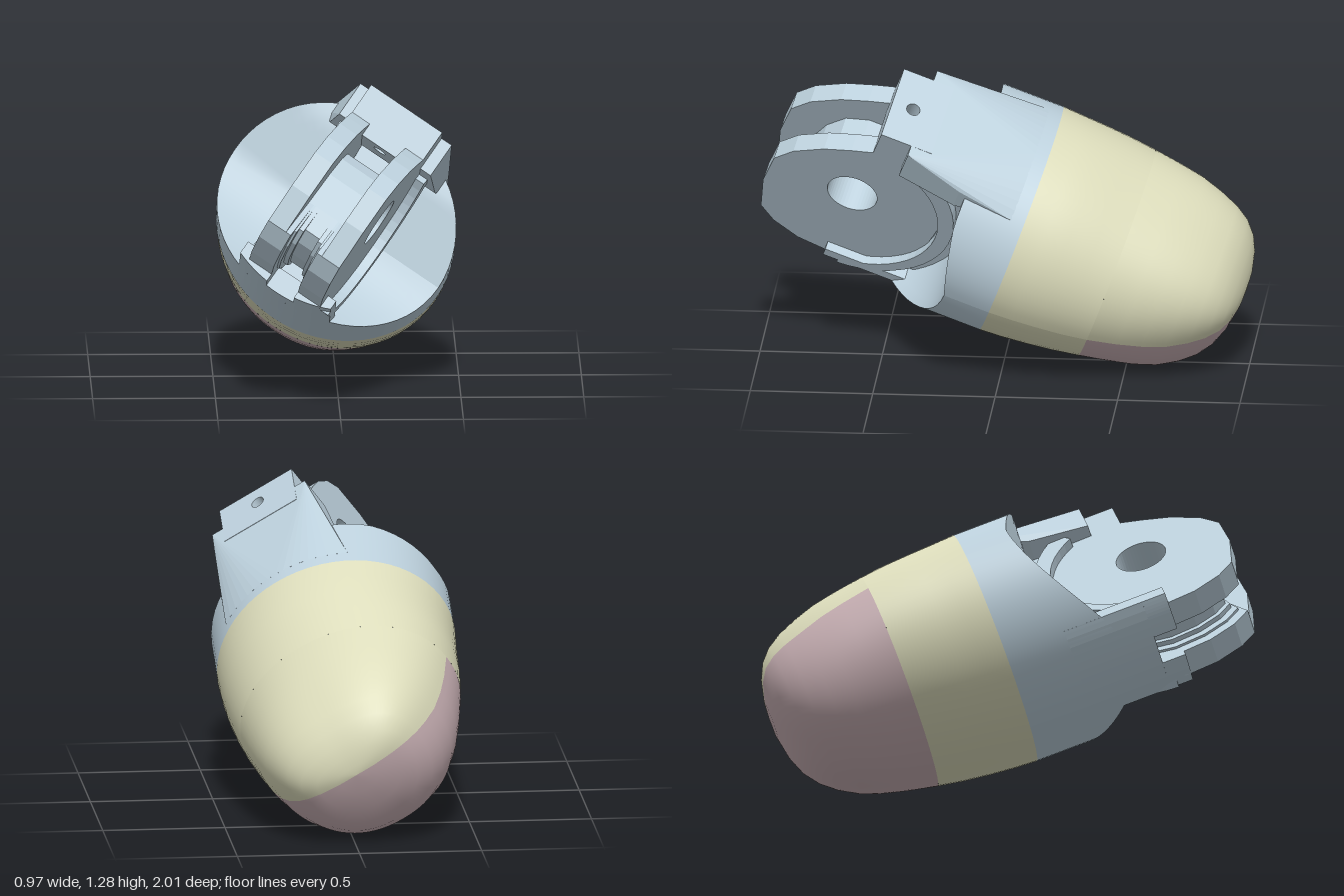
import * as THREE from 'three';
import { ConvexGeometry } from 'three/addons/geometries/ConvexGeometry.js';

const shellMat = new THREE.MeshStandardMaterial({ color: 0xbcd0dc });
shellMat.name = 'pale blue';
const skinMat = new THREE.MeshStandardMaterial({ color: 0xdcdcbb });
skinMat.name = 'cream';
const padMat = new THREE.MeshStandardMaterial({ color: 0xc6aeb2 });
padMat.name = 'dusty pink';

// Local frame: x = hinge axis, y = back of the finger, z = towards the knuckle.
const P = 0.503, Q = 0.453; // half axes of the shell
const HINGE_Z = 0.83;
const wallY = (x) => Q * Math.sqrt(1 - (x / P) ** 2);

function add(parent, name, geometry, material) {
  const mesh = new THREE.Mesh(geometry, material);
  mesh.name = name;
  parent.add(mesh);
  return mesh;
}

// Surface through rows of points around the finger; point(row, angle) -> [x, y, z]
function skin(rows, from, to, point, steps = 64) {
  const pos = [], index = [];
  rows.forEach((row) => {
    for (let j = 0; j <= steps; j++) pos.push(...point(row, from + ((to - from) * j) / steps));
  });
  const n = steps + 1;
  for (let i = 0; i < rows.length - 1; i++) {
    for (let j = 0; j < steps; j++) {
      const a = i * n + j, b = a + n;
      index.push(a, b, a + 1, a + 1, b, b + 1);
    }
  }
  const g = new THREE.BufferGeometry();
  g.setAttribute('position', new THREE.Float32BufferAttribute(pos, 3));
  g.setIndex(index);
  g.computeVertexNormals();
  return g;
}

const shapeOf = (pts) => new THREE.Shape(pts.map(([x, y]) => new THREE.Vector2(x, y)));
const extrude = (shape, depth) =>
  new THREE.ExtrudeGeometry(shape, { depth, bevelEnabled: false, curveSegments: 24 });
function hole(shape, x, y, r) {
  shape.holes.push(new THREE.Path().absarc(x, y, r, 0, Math.PI * 2, true));
  return shape;
}
// Profile given in (z, y), running across x from x0 to x1
const across = (shape, x0, x1) => extrude(shape, x1 - x0).rotateY(-Math.PI / 2).translate(x1, 0, 0);
// Plan given in (x, z), running down from y1 to y0
const downward = (shape, y0, y1) => extrude(shape, y1 - y0).rotateX(Math.PI / 2).translate(0, y1, 0);

// Fingertip sections: z, centre x, centre y, half width, height above, height below, squareness
const sections = [
  [0.145, 0, 0, P, Q, Q, 2], [0.05, 0, 0, 0.498, 0.447, 0.447, 2],
  [-0.05, -0.003, 0, 0.492, 0.436, 0.438, 2], [-0.16, -0.01, -0.006, 0.482, 0.415, 0.42, 2.05],
  [-0.27, -0.016, -0.01, 0.465, 0.395, 0.404, 2.1], [-0.39, -0.02, -0.01, 0.437, 0.375, 0.396, 2.2],
  [-0.49, -0.022, -0.006, 0.408, 0.35, 0.388, 2.35], [-0.58, -0.022, 0, 0.372, 0.315, 0.373, 2.5],
  [-0.66, -0.024, 0.018, 0.33, 0.265, 0.35, 2.6], [-0.72, -0.026, 0.034, 0.288, 0.208, 0.312, 2.7],
  [-0.765, -0.027, 0.047, 0.238, 0.145, 0.255, 2.7], [-0.794, -0.028, 0.054, 0.175, 0.09, 0.175, 2.6],
  [-0.812, -0.028, 0.058, 0.085, 0.04, 0.085, 2.4], [-0.816, -0.028, 0.06, 0, 0, 0, 2],
];
function tipPoint([z, cx, cy, p, up, down, n], t) {
  const c = Math.cos(t), s = Math.sin(t);
  const e = s > 0 ? n : 2 + (n - 2) * 0.4;
  const r = (Math.abs(c) ** e + Math.abs(s) ** e) ** (-1 / e);
  return [cx + p * r * c, cy + (s > 0 ? up : down) * r * s, z];
}

// Front of the shell is hollowed around the hinge
const cut = (y) => (y < 0 ? 0.84 - Math.sqrt(0.25 - y * y) : 0.34 + 0.07 * Math.min(1, y / 0.3));

function buildTip(finger) {
  const tip = new THREE.Group();
  tip.name = 'fingertip';
  const whole = Math.PI * 2;
  add(tip, 'fingertipSleeve', skin(sections.slice(0, 5), 0, whole, tipPoint), skinMat);
  add(tip, 'fingertipBack', skin(sections.slice(4), 0, Math.PI, tipPoint, 40), skinMat);
  add(tip, 'fingerPad', skin(sections.slice(4), Math.PI, whole, tipPoint, 40), padMat);
  finger.add(tip);
}

// Slab between the shell wall and an inner level, from x0 to x1 and z0 to z1
function palmSlab(x0, x1, z0, z1) {
  const pts = [];
  for (let i = 0; i <= 12; i++) {
    const x = x0 + ((x1 - x0) * i) / 12;
    pts.push([x, -wallY(x)]);
  }
  return extrude(shapeOf([...pts, [x1, -0.36], [x0, -0.36]]), z1 - z0).translate(0, 0, z0);
}

function buildShell(finger) {
  const shell = new THREE.Group();
  shell.name = 'shell';
  const whole = Math.PI * 2;
  add(shell, 'shellWall', skin([0, 1], 0, whole, (row, t) => {
    const y = Q * Math.sin(t);
    return [P * Math.cos(t), y, row ? 0.145 : cut(y)];
  }), shellMat);
  const rings = Array.from({ length: 13 }, (_, i) => i / 12);
  add(shell, 'shellHollow', skin(rings, 0, whole, (s, t) => {
    const y = Q * s * Math.sin(t);
    return [P * s * Math.cos(t), y, cut(y)];
  }), shellMat);

  // Palm side of the wall carries on under the hinge, split by the groove
  add(shell, 'palmTongue', palmSlab(-0.2, 0.235, 0.4, 0.74), shellMat);
  add(shell, 'rightPalmProng', palmSlab(-0.2, -0.045, 0.74, 0.84), shellMat);
  add(shell, 'leftPalmProng', palmSlab(0.085, 0.235, 0.74, 0.84), shellMat);

  // Shoulder blending the round shell into the stop block
  const pts = [];
  for (const side of [-1, 1]) {
    const x = (w) => 0.02 + side * w;
    for (const y of [0.31, 0.463]) pts.push(new THREE.Vector3(x(0.225), y, 0.69));
    for (const y of [0.3, 0.4]) pts.push(new THREE.Vector3(x(0.26), y, 0.44));
  }
  for (let i = -8; i <= 8; i++) {
    const x = i * 0.037;
    pts.push(new THREE.Vector3(x, wallY(x), 0.2));
  }
  add(shell, 'shoulder', new ConvexGeometry(pts), shellMat);
  finger.add(shell);
}

function buildHinge(finger) {
  const hinge = new THREE.Group();
  hinge.name = 'hinge';
  hinge.position.x = 0.02;

  // Lower edge shared by the cheeks and the hub
  const lowerEdge = [
    [0.465, -0.13], [0.52, -0.25], [0.6, -0.335], [0.7, -0.39], [0.814, -0.42], [0.96, -0.405],
    [1.078, -0.355], [1.15, -0.29],
  ];
  // Cheek plates with the pin hole
  const cheek = () => hole(shapeOf([
    ...lowerEdge, [1.185, -0.12], [1.18, 0.046], [1.12, 0.138], [1.01, 0.228], [0.905, 0.285],
    [0.81, 0.33], [0.72, 0.36], [0.6, 0.34], [0.52, 0.24], [0.468, 0.1], [0.452, -0.02],
  ]), HINGE_Z, 0.01, 0.105);

  // Curved lips of the shell that follow the cheeks, thinning towards the front
  const lip = () => {
    const outer = [], inner = [];
    for (let i = 0; i <= 20; i++) {
      const k = i / 20, t = 2.2 + 2.4 * k, r = 0.45 - 0.05 * k;
      outer.push([0.82 + r * Math.cos(t), -0.02 + r * Math.sin(t)]);
      inner.unshift([0.82 + 0.37 * Math.cos(t), -0.02 + 0.37 * Math.sin(t)]);
    }
    return shapeOf([...outer, ...inner]);
  };
  for (const [side, name] of [[1, 'left'], [-1, 'right']]) {
    const span = (a, b) => (side > 0 ? [a, b] : [-b, -a]);
    add(hinge, name + 'Cheek', across(cheek(), ...span(0.088, 0.175)), shellMat);
    add(hinge, name + 'Lip', across(lip(), ...span(0.17, 0.215)), shellMat);
  }

  // Hub between the cheeks, sliced so that a rounded groove runs over its lower front
  const hub = (depth) => {
    const s = 1 - depth / 0.4;
    const sunk = ([z, y]) => [HINGE_Z + (z - HINGE_Z) * s, y * s];
    return hole(shapeOf([
      ...lowerEdge.map(sunk), [1.065, -0.12], [1.02, 0.03], [0.96, 0.12], [0.87, 0.165],
      [0.75, 0.165], [0.6, 0.12], [0.47, 0.1],
    ]), HINGE_Z, 0.01, 0.105);
  };
  const slices = [[-0.09, 0], [-0.065, 0.04], [-0.055, 0.07], [-0.035, 0.09], [0.035, 0.07],
    [0.055, 0.04], [0.065, 0], [0.09, 0]];
  for (let i = 0; i < slices.length - 1; i++) {
    add(hinge, 'hub', across(hub(slices[i][1]), slices[i][0], slices[i + 1][0]), shellMat);
  }

  // Web joining the hinge to the shell
  add(hinge, 'web', new THREE.BoxGeometry(0.34, 0.64, 0.3).translate(0, -0.02, 0.35), shellMat);

  // Stop block on the back, with a pin hole
  const stop = hole(shapeOf([
    [-0.175, 0.82], [-0.175, 0.6], [0.175, 0.6], [0.175, 0.82],
  ]), 0, 0.73, 0.028);
  add(hinge, 'stopBlock', downward(stop, 0.27, 0.463), shellMat);
  finger.add(hinge);
}

export function createModel() {
  const model = new THREE.Group();
  model.name = 'mechanicalFingertip';
  const tilt = new THREE.Group();
  tilt.name = 'tilt';
  tilt.rotation.x = -0.358;
  tilt.position.set(0, 0.543, -0.203);
  const finger = new THREE.Group();
  finger.name = 'finger';
  finger.rotation.z = -0.607;
  buildTip(finger);
  buildShell(finger);
  buildHinge(finger);
  tilt.add(finger);
  model.add(tilt);
  return model;
}
